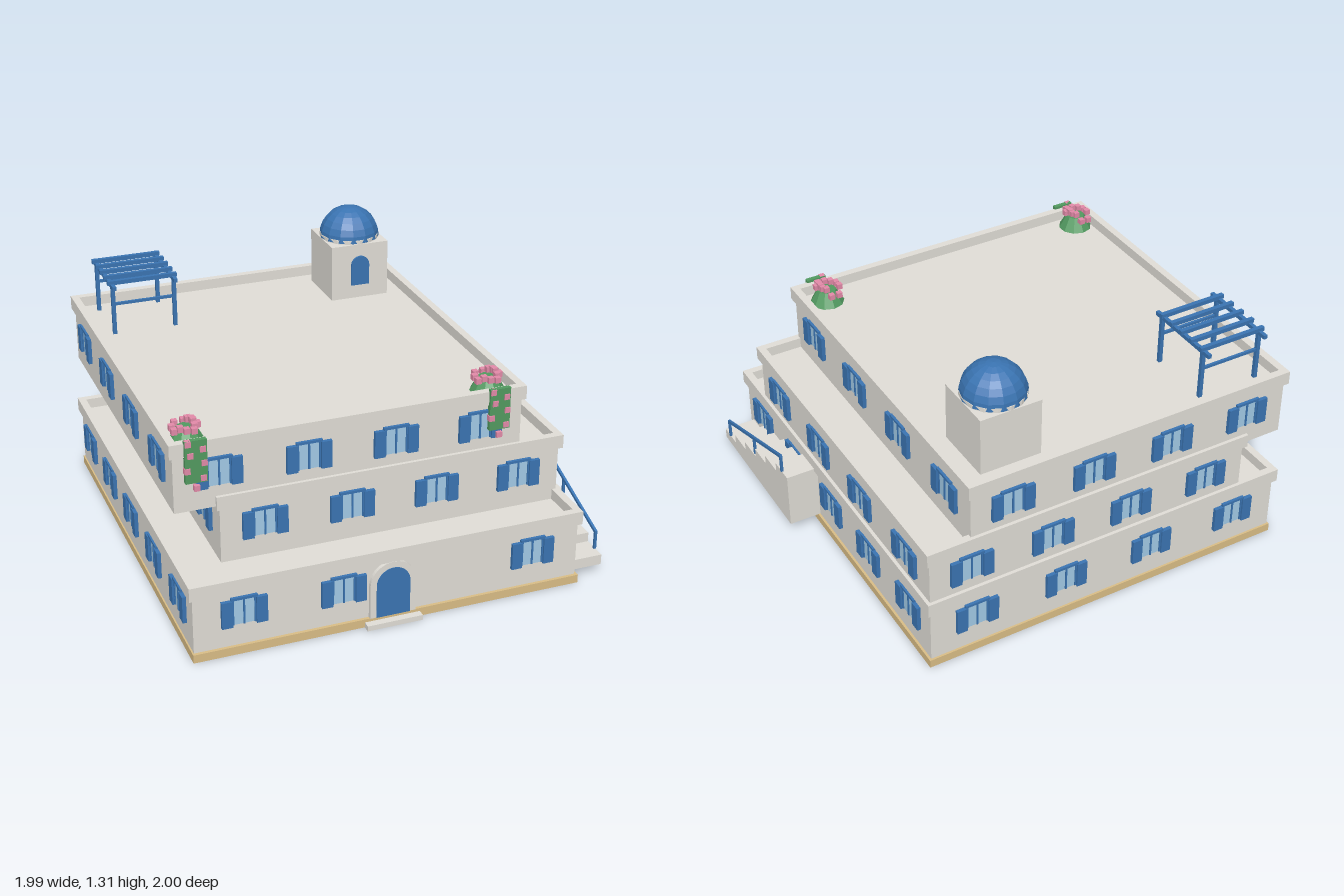
import * as THREE from 'three';

const mat = (name, color, opts = {}) => {
  const m = new THREE.MeshStandardMaterial({ color, ...opts });
  m.name = name;
  return m;
};

export function createModel() {
  const plaster = mat('plaster', 0xe0ddd6, { flatShading: true });
  const blue = mat('blue paint', 0x3a74b2, { flatShading: true });
  const glass = mat('glass', 0xa2cae6);
  const sand = mat('sandstone', 0xd9bd86);
  const leaf = mat('leaves', 0x529a60, { flatShading: true });
  const petal = mat('petals', 0xe28aa8);

  const model = new THREE.Group();
  model.name = 'terracedHouse';

  const add = (parent, name, geometry, material, x = 0, y = 0, z = 0) => {
    const mesh = new THREE.Mesh(geometry, material);
    mesh.name = name;
    mesh.position.set(x, y, z);
    parent.add(mesh);
    return mesh;
  };
  // Box given by its minimum and maximum corners
  const box = (parent, name, material, x0, x1, y0, y1, z0, z1) =>
    add(parent, name, new THREE.BoxGeometry(x1 - x0, y1 - y0, z1 - z0), material,
      (x0 + x1) / 2, (y0 + y1) / 2, (z0 + z1) / 2);
  const group = (name, parent = model) => {
    const g = new THREE.Group();
    g.name = name;
    parent.add(g);
    return g;
  };
  const rect = (P, x0, x1, y0, y1) => {
    const p = new P();
    p.moveTo(x0, y0); p.lineTo(x1, y0); p.lineTo(x1, y1); p.lineTo(x0, y1); p.closePath();
    return p;
  };
  // Round-topped outline standing on y = 0
  const arch = (P, r, spring) => {
    const p = new P();
    p.moveTo(-r, 0); p.lineTo(r, 0); p.lineTo(r, spring);
    p.absarc(0, spring, r, 0, Math.PI, false);
    p.lineTo(-r, 0);
    return p;
  };
  const extrude = (shape, depth) =>
    new THREE.ExtrudeGeometry(shape, { depth, bevelEnabled: false, curveSegments: 12 });

  // Shuttered window facing +z, origin at its bottom centre on the wall
  function makeWindow(parent) {
    const g = group('window', parent);
    box(g, 'windowGlass', glass, -0.052, 0.052, 0.004, 0.128, -0.005, 0.004);
    for (const x of [-0.05, 0, 0.05])
      box(g, 'windowMullion', blue, x - 0.004, x + 0.004, 0.004, 0.128, -0.005, 0.009);
    box(g, 'windowLintel', blue, -0.06, 0.06, 0.128, 0.14, -0.005, 0.014);
    for (const s of [-1, 1])
      add(g, 'shutter', new THREE.BoxGeometry(0.05, 0.128, 0.022), blue, s * 0.078, 0.064, 0.007);
    return g;
  }

  // One storey: walls, a hollow parapet and evenly spaced windows on all sides
  function makeStorey(name, x0, x1, z0, z1, y, sideCount, skipFront = -1) {
    const g = group(name);
    box(g, 'walls', plaster, x0, x1, y, y + 0.28, z0, z1);
    const o = 0.016, i = 0.02;
    const ring = rect(THREE.Shape, x0 - o, x1 + o, -z1 - o, -z0 + o);
    ring.holes.push(rect(THREE.Path, x0 + i, x1 - i, -z1 + i, -z0 - i));
    add(g, 'parapet', extrude(ring, 0.065), plaster, 0, y + 0.265, 0).rotation.x = -Math.PI / 2;

    const row = (count, a, b, place, skip = -1) => {
      for (let k = 0; k < count; k++)
        if (k !== skip) place(a + (b - a) * (k + 0.5) / count, makeWindow(g));
    };
    const set = (w, x, z, turn) => {
      w.position.set(x, y + 0.1, z);
      w.rotation.y = turn;
    };
    row(4, x0, x1, (x, w) => set(w, x, z1, 0), skipFront);
    row(4, x0, x1, (x, w) => set(w, x, z0, Math.PI));
    row(sideCount, z0, z1, (z, w) => set(w, x1, z, Math.PI / 2));
    row(sideCount, z0, z1, (z, w) => set(w, x0, z, -Math.PI / 2));
  }

  box(model, 'plinth', sand, -0.987, 0.843, 0, 0.04, -0.99, 0.965);
  makeStorey('groundFloor', -0.98, 0.832, -0.98, 0.95, 0.04, 5, 2);
  makeStorey('middleFloor', -0.78, 0.832, -0.98, 0.728, 0.32, 4);
  makeStorey('topFloor', -0.98, 0.632, -0.98, 0.728, 0.6, 4);

  // Entrance: arched door, surround and doorstep
  const entrance = group('entrance');
  entrance.position.set(-0.073, 0.04, 0.95);
  const surround = arch(THREE.Shape, 0.108, 0.16);
  surround.holes.push(arch(THREE.Path, 0.079, 0.16));
  add(entrance, 'doorSurround', extrude(surround, 0.018), plaster);
  add(entrance, 'frontDoor', extrude(arch(THREE.Shape, 0.079, 0.16), 0.021), blue);
  box(model, 'doorstep', plaster, -0.205, 0.057, 0, 0.025, 0.94, 1.0);

  // Outside staircase rising towards the back
  const stairs = group('staircase');
  for (let k = 0; k < 6; k++) {
    const z1 = 0.918 - k * 0.13;
    box(stairs, 'step', plaster, 0.83, 0.987, 0.04, 0.09 + k * 0.046, z1 - 0.13, z1);
  }
  const railPosts = [[0.855, 0.09, 0.18], [0.53, 0.2, 0.295], [0.2, 0.32, 0.41]];
  for (const [z, y0, y1] of railPosts)
    box(stairs, 'railPost', blue, 0.979, 0.991, y0, y1, z - 0.006, z + 0.006);
  const rise = 0.23, run = 0.655;
  const rail = add(stairs, 'handrail',
    new THREE.BoxGeometry(0.012, 0.014, Math.hypot(rise, run) + 0.01), blue, 0.985, 0.293, 0.5275);
  rail.rotation.x = Math.atan2(rise, run);

  // Domed roof tower
  const tower = group('tower');
  tower.position.set(0.384, 0.88, -0.738);
  box(tower, 'towerWalls', plaster, -0.148, 0.148, 0, 0.28, -0.148, 0.148);
  add(tower, 'drum', new THREE.CylinderGeometry(0.148, 0.148, 0.03, 16), plaster, 0, 0.285, 0);
  add(tower, 'dome', new THREE.SphereGeometry(0.149, 14, 7, 0, Math.PI * 2, 0, Math.PI / 2),
    blue, 0, 0.284, 0);
  add(tower, 'towerDoor', extrude(arch(THREE.Shape, 0.047, 0.103), 0.02), blue, 0, 0.07, 0.138);

  // Pergola
  const pergola = group('pergola');
  for (const x of [-0.88, -0.58]) {
    for (const z of [-0.89, -0.58])
      box(pergola, 'pergolaPost', blue, x - 0.009, x + 0.009, 0.88, 1.12, z - 0.009, z + 0.009);
    box(pergola, 'pergolaBeam', blue, x - 0.009, x + 0.009, 1.113, 1.132, -0.94, -0.54);
  }
  for (let k = 0; k < 5; k++) {
    const z = -0.89 + k * 0.075;
    box(pergola, 'pergolaSlat', blue, -0.902, -0.563, 1.127, 1.147, z - 0.01, z + 0.01);
  }
  for (const z of [-0.89, -0.58])
    box(pergola, 'pergolaRail', blue, -0.88, -0.58, 1.025, 1.038, z - 0.006, z + 0.006);

  // Flowering bushes with creepers hanging over the front parapet
  const flower = new THREE.BoxGeometry(0.026, 0.026, 0.026);
  const hanging = [[-0.035, 0.93], [0.03, 0.9], [-0.025, 0.875], [0.035, 0.835],
    [-0.04, 0.805], [0.03, 0.765], [0, 0.72]];
  for (const x of [-0.883, 0.514]) {
    const plant = group('floweringPlant');
    plant.position.x = x;
    add(plant, 'bush', new THREE.CylinderGeometry(0.045, 0.083, 0.068, 10), leaf, 0, 0.912, 0.622);
    for (let k = 0; k < 12; k++) {
      const a = k * 2.4, r = 0.03 + 0.045 * ((k * 5) % 12) / 11;
      add(plant, 'blossom', flower, petal,
        r * Math.cos(a), 0.972 - (r - 0.03) * 0.7, 0.625 + r * Math.sin(a));
    }
    box(plant, 'creeper', leaf, -0.049, 0.049, 0.745, 0.943, 0.735, 0.757);
    for (const [fx, fy] of hanging) add(plant, 'blossom', flower, petal, fx, fy, 0.75);
  }
  return model;
}
